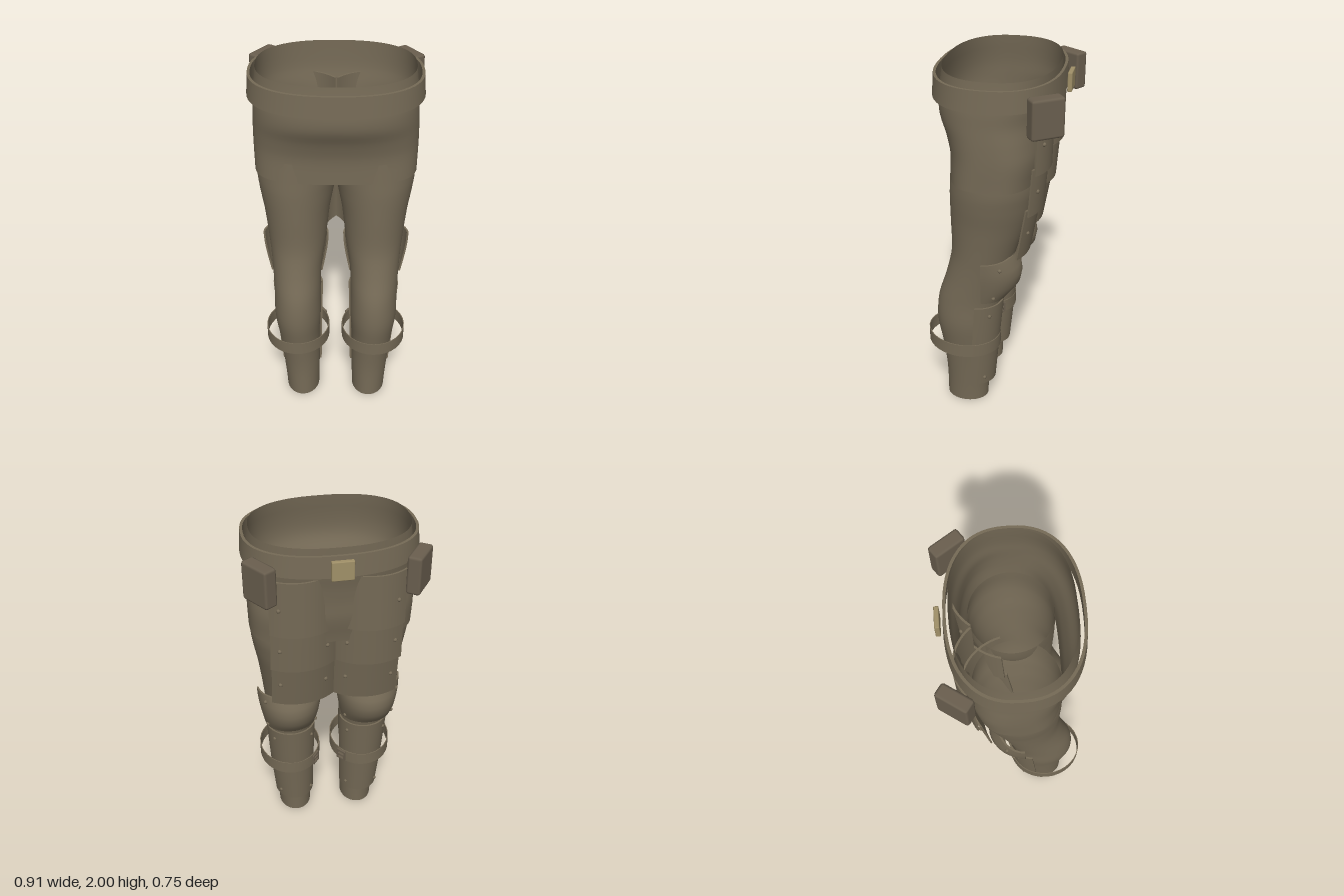
import * as THREE from 'three';
import { toCreasedNormals } from 'three/addons/utils/BufferGeometryUtils.js';
import { RoundedBoxGeometry } from 'three/addons/geometries/RoundedBoxGeometry.js';

const mat = (name, color) => Object.assign(new THREE.MeshStandardMaterial({ color, side: THREE.DoubleSide }), { name });
const cloth = mat('brown cloth', 0x756a56);
const leather = mat('dark pouch leather', 0x6a5f4f);
const brass = mat('dull brass', 0xa09068);

const RAD = Math.PI / 180;
const pow = (v, e) => Math.sign(v) * Math.abs(v) ** e;

// Point on a horizontal superellipse row [y, cx, rx, zc, rz, n]; angle 0 is -z, 90 is away from the midline
function at([y, cx, rx, zc, rz, n = 2], deg, s, inset = 0, tilt = 0) {
  const a = deg * RAD;
  const z = zc - (rz - inset) * pow(Math.cos(a), 2 / n);
  return new THREE.Vector3(s * (cx + (rx - inset) * pow(Math.sin(a), 2 / n)), y + tilt * (z - zc), z);
}

// Surface through columns of points; s = -1 flips the winding for mirrored parts
function skin(columns, s, crease = 0.6) {
  const rows = columns[0].length, index = [];
  for (let i = 0; i < columns.length - 1; i++) {
    for (let j = 0; j < rows - 1; j++) {
      const a = i * rows + j, b = a + 1, c = a + rows, d = c + 1;
      if (s > 0) index.push(a, b, c, b, d, c);
      else index.push(a, c, b, b, c, d);
    }
  }
  const geo = new THREE.BufferGeometry().setFromPoints(columns.flat());
  geo.setIndex(index);
  return toCreasedNormals(geo, crease);
}

// Smooth the rows of a tube with a spline through each parameter
function refine(rows, steps) {
  const out = [];
  for (let j = 0; j < rows.length - 1; j++) {
    const g = (k) => rows[Math.min(Math.max(k, 0), rows.length - 1)];
    for (let k = 0; k < steps; k++) {
      const t = k / steps;
      out.push(g(j).map((p1, c) => {
        const p0 = g(j - 1)[c], p2 = g(j + 1)[c], p3 = g(j + 2)[c];
        if (c === 0) return p1 + (p2 - p1) * t;
        return p1 + 0.5 * t * (p2 - p0 + t * (2 * p0 - 5 * p1 + 4 * p2 - p3 + t * (3 * (p1 - p2) + p3 - p0)));
      }));
    }
  }
  return [...out, rows.at(-1)];
}

// Open tube of cloth
function tube(rows, s, n = 48) {
  const fine = refine(rows, 4);
  const cols = [];
  for (let i = 0; i <= n; i++) cols.push(fine.map((r) => at(r, -180 + 360 * i / n, s)));
  return skin(cols, s, 1.2);
}

// Curved plate of thickness t between two angles, with closed edges
function shell(rows, a0, a1, t, s, n = 20, tilt = 0) {
  const col = (a, th) => [
    ...rows.map((r) => at(r, a, s, 0, tilt)),
    ...[...rows].reverse().map((r) => at(r, a, s, th, tilt)),
    at(rows[0], a, s, 0, tilt),
  ];
  const cols = [col(a0, 0)];
  for (let i = 0; i <= n; i++) cols.push(col(a0 + (a1 - a0) * i / n, t));
  cols.push(col(a1, 0));
  return skin(cols, s);
}

export function createModel() {
  const model = new THREE.Group();
  model.name = 'armouredTrousers';
  const add = (name, geo, material = cloth, parent = model) => {
    const m = new THREE.Mesh(geo, material);
    m.name = name;
    parent.add(m);
    return m;
  };

  // Hips, open at the waist
  add('hips', tube([
    [1.44, 0, 0.424, 0, 0.233, 3], [1.58, 0, 0.427, -0.012, 0.248, 2.8],
    [1.68, 0, 0.425, -0.002, 0.264, 2.6], [1.77, 0, 0.42, 0.012, 0.288, 2.4],
    [1.86, 0, 0.416, 0.006, 0.297, 2.4], [2, 0, 0.4, -0.005, 0.29, 2.4],
  ], 1, 72));

  // Belt and its buckle
  add('belt', shell([[1.86, 0, 0.446, 0.003, 0.332, 2.4], [1.97, 0, 0.438, 0.003, 0.324, 2.4]], -180, 180, 0.014, 1, 64));
  add('beltBuckle', new RoundedBoxGeometry(0.11, 0.1, 0.024, 1, 0.005), brass).position.set(0, 1.91, -0.35);

  const legRows = [
    [0, 0.195, 0.095, 0.165, 0.12], [0.2, 0.2, 0.105, 0.16, 0.125],
    [0.4, 0.21, 0.115, 0.157, 0.147], [0.55, 0.215, 0.13, 0.155, 0.17],
    [0.7, 0.215, 0.13, 0.138, 0.174], [0.85, 0.215, 0.137, 0.095, 0.17],
    [1, 0.21, 0.155, 0.058, 0.173], [1.2, 0.21, 0.178, 0.025, 0.205],
    [1.35, 0.208, 0.205, 0.008, 0.222], [1.44, 0.2, 0.22, 0, 0.226],
    [1.55, 0.19, 0.225, 0, 0.222],
  ];
  // Overlapping thigh plates: [inner angle, bottom row, top row]
  const lames = [
    [-78, [1.03, 0.19, 0.262, 0.04, 0.232], [1.32, 0.19, 0.255, 0.01, 0.252]],
    [-76, [1.29, 0.19, 0.268, 0.01, 0.268], [1.55, 0.19, 0.258, 0, 0.278]],
    [-46, [1.52, 0.19, 0.268, 0, 0.294], [1.83, 0.19, 0.262, 0, 0.3]],
  ];
  const kneeRows = [
    [0.75, 0.222, 0.145, 0.045, 0.125], [0.785, 0.222, 0.152, 0.043, 0.15],
    [0.84, 0.222, 0.163, 0.041, 0.186], [0.9, 0.222, 0.173, 0.04, 0.196],
    [0.95, 0.222, 0.179, 0.038, 0.186], [1.01, 0.222, 0.182, 0.035, 0.15],
  ];
  const shinRows = [
    [0.14, 0.2, 0.115, 0.13, 0.13], [0.42, 0.21, 0.13, 0.112, 0.138], [0.7, 0.215, 0.142, 0.09, 0.143],
  ];
  const rivetGeo = new THREE.SphereGeometry(0.011, 10, 8);

  for (const s of [1, -1]) {
    const leg = new THREE.Group();
    leg.name = s > 0 ? 'leftLeg' : 'rightLeg';
    model.add(leg);
    const rivet = (row, deg) => add('rivet', rivetGeo, cloth, leg).position.copy(at(row, deg, s));

    add('trouserLeg', tube(legRows, s), cloth, leg);

    // Thigh, knee and shin armour
    for (const [inner, low, high] of lames) {
      add('thighPlate', shell([low, high], inner, 35, 0.011, s), cloth, leg);
      const mid = low.map((v, k) => (v + high[k]) / 2);
      rivet(mid, 24);
      rivet(mid, -32);
    }
    add('kneeCap', shell(kneeRows, -88, 88, 0.01, s, 28), cloth, leg);
    add('shinPlate', shell(shinRows, -86, 86, 0.01, s, 24), cloth, leg);
    for (const side of [-1, 1]) {
      rivet([0.97, 0.222, 0.18, 0.037, 0.173], side * 54);
      rivet([0.785, 0.222, 0.152, 0.043, 0.15], side * 62);
      rivet([0.64, 0.214, 0.139, 0.095, 0.142], side * 50);
      rivet([0.19, 0.202, 0.118, 0.127, 0.131], side * 50);
    }

    // Calf strap with a small framed buckle on the inner side
    const strapRow = [0.435, 0.215, 0.18, 0.172, 0.205];
    const strapRows = [-0.038, 0.038].map((d) => [0.435 + d, ...strapRow.slice(1)]);
    add('calfStrap', shell(strapRows, -180, 180, 0.005, s, 32, 0.06), cloth, leg);
    const buckle = new THREE.Group();
    buckle.name = 'strapBuckle';
    buckle.position.copy(at(strapRow, -48, s, -0.004, 0.06));
    buckle.rotation.y = Math.atan2(-Math.sin(48 * RAD) * s / 0.18, -Math.cos(48 * RAD) / 0.205);
    leg.add(buckle);
    for (const y of [-0.028, 0, 0.028]) {
      add('buckleBar', new THREE.BoxGeometry(0.06, 0.009, 0.012), leather, buckle).position.y = y;
    }
    for (const x of [-0.027, 0.027]) {
      add('bucklePost', new THREE.BoxGeometry(0.009, 0.06, 0.012), leather, buckle).position.x = x;
    }

    // Belt pouch at the hip
    const pouch = add('beltPouch', new RoundedBoxGeometry(0.172, 0.2, 0.074, 1, 0.014), leather);
    pouch.position.set(s * 0.383, 1.847, -0.29);
    pouch.rotation.y = Math.atan2(0.82 * s, -0.57);
  }
  return model;
}
